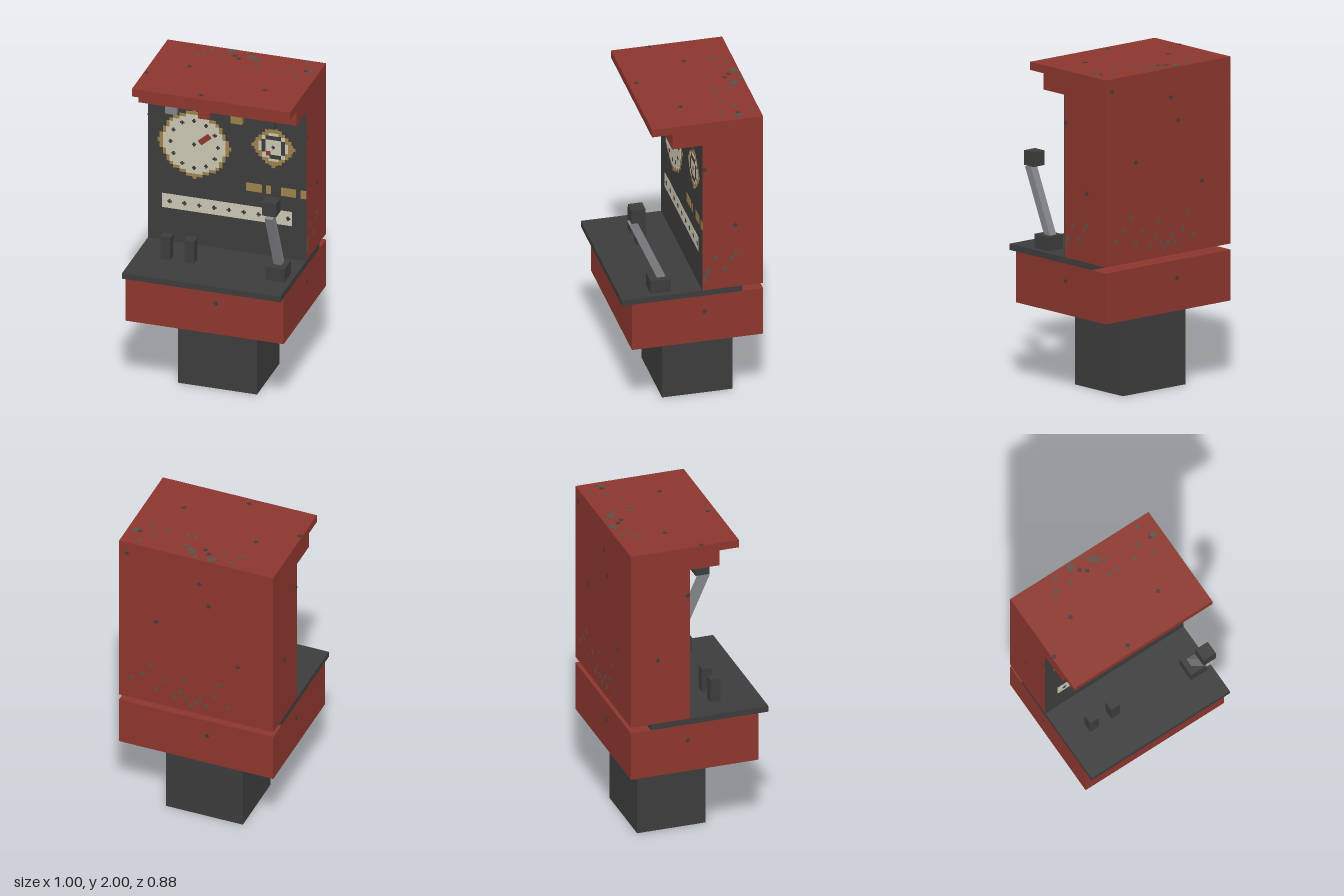
import * as THREE from 'three';
import { mergeGeometries } from 'three/addons/utils/BufferGeometryUtils.js';

const mat = (name, color) => Object.assign(new THREE.MeshStandardMaterial({ color }), { name });
const red = mat('red paint', 0x8b362d);
const dark = mat('dark iron', 0x3c3c3c);
const cream = mat('cream enamel', 0xcac6b3);
const gold = mat('brass', 0x9c8149);
const steel = mat('steel', 0x838488);
const worn = mat('worn metal', 0x5f4f45);

const FACE = -0.0625; // z of the instrument panel

// Box geometry from its lower and upper limits
function boxGeo(x0, x1, y0, y1, z0, z1) {
  return new THREE.BoxGeometry(x1 - x0, y1 - y0, z1 - z0)
    .translate((x0 + x1) / 2, (y0 + y1) / 2, (z0 + z1) / 2);
}

// Thin plate lying on the panel, layer sets how far it stands out
const plateGeo = (x0, x1, y0, y1, layer) =>
  boxGeo(x0, x1, y0, y1, FACE, FACE + 0.002 * (layer + 1));

// Small plus mark centred on the origin, facing +z
function plusGeo(size, depth = 0.003) {
  const a = size / 2, b = size / 5;
  return mergeGeometries([boxGeo(-a, a, -b, b, 0, depth), boxGeo(-b, b, -a, a, 0, depth)]);
}

const panelPlus = (x, y, size, layer) =>
  plusGeo(size, 0.002 * (layer + 1)).translate(x, y, FACE);

// Stepped round plate made of rows of square cells
function steppedDisc(cx, cy, r, layer, cell = 0.0208) {
  const rows = [];
  const n = Math.floor(r / cell);
  for (let i = -n; i <= n; i++) {
    const half = (Math.floor(Math.sqrt(r * r - (i * cell) ** 2) / cell) + 0.5) * cell;
    rows.push(plateGeo(cx - half, cx + half, cy + (i - 0.5) * cell, cy + (i + 0.5) * cell, layer));
  }
  return mergeGeometries(rows);
}

export function createModel() {
  const model = new THREE.Group();
  model.name = 'controlCabinet';
  const add = (name, material, geo, parent = model) => {
    const mesh = new THREE.Mesh(geo, material);
    mesh.name = name;
    parent.add(mesh);
    return mesh;
  };
  const group = (name) => {
    const g = new THREE.Group();
    g.name = name;
    model.add(g);
    return g;
  };

  // Pedestal, lower body and counter
  add('pedestal', dark, boxGeo(-0.25, 0.25, 0, 0.5, -0.31, 0.125));
  add('lowerBody', red, boxGeo(-0.5, 0.5, 0.5, 0.8125, -0.4375, 0.375));
  add('counter', dark, boxGeo(-0.5, 0.5, 0.8125, 0.85, -0.31, 0.4375));

  // Upper cabinet with its stepped cornice: side profile (z, y) extruded across x
  const profile = new THREE.Shape([
    [-0.4375, 0.85], [FACE, 0.85], [FACE, 1.85], [0.125, 1.85],
    [0.125, 1.95], [0.25, 1.95], [0.25, 2], [-0.4375, 2],
  ].map(([z, y]) => new THREE.Vector2(-z, y)));
  const cabinet = new THREE.ExtrudeGeometry(profile, { depth: 1, bevelEnabled: false });
  cabinet.rotateY(Math.PI / 2).translate(-0.5, 0, 0);
  add('upperCabinet', red, cabinet);
  add('instrumentPanel', dark, plateGeo(-0.5, 0.5, 0.85, 1.85, 0));

  // Large dial
  const big = group('largeDial');
  const bx = -0.207, by = 1.525;
  const quarter = [0, 1, 2, 3].map((i) => i * Math.PI / 2);
  const nubs = (cx, cy, r, size) => quarter.map((a) =>
    panelPlus(cx + r * Math.cos(a), cy + r * Math.sin(a), size, 1));
  add('largeDialRim', gold, mergeGeometries([steppedDisc(bx, by, 0.214, 1), ...nubs(bx, by, 0.202, 0.062)]), big);
  add('largeDialFace', cream, steppedDisc(bx, by, 0.192, 2), big);
  const marks = [panelPlus(bx, by, 0.026, 3)];
  for (let i = 0; i < 12; i++) {
    const a = i * Math.PI / 6;
    marks.push(panelPlus(bx + 0.15 * Math.sin(a), by + 0.158 * Math.cos(a), 0.026, 3));
  }
  add('largeDialMarks', dark, mergeGeometries(marks), big);
  const needle = new THREE.BoxGeometry(0.085, 0.036, 0.008).rotateZ(0.72);
  add('largeDialNeedle', red, needle.translate(-0.14, 1.568, FACE + 0.005), big);

  // Small dial
  const small = group('smallDial');
  const sx = 0.293, sy = 1.583;
  add('smallDialRim', gold, mergeGeometries([steppedDisc(sx, sy, 0.114, 1), ...nubs(sx, sy, 0.112, 0.055)]), small);
  add('smallDialFace', cream, steppedDisc(sx, sy, 0.093, 2), small);
  add('smallDialScale', dark, mergeGeometries([
    plateGeo(sx - 0.048, sx + 0.048, sy + 0.05, sy + 0.076, 3),
    plateGeo(sx - 0.024, sx + 0.048, sy - 0.076, sy - 0.05, 3),
    plateGeo(sx - 0.074, sx - 0.048, sy - 0.035, sy + 0.048, 3),
    plateGeo(sx + 0.048, sx + 0.074, sy - 0.045, sy + 0.048, 3),
    panelPlus(sx, sy, 0.024, 3),
  ]), small);
  add('smallDialNeedle', red, plateGeo(sx - 0.045, sx - 0.018, sy - 0.058, sy - 0.028, 3), small);

  // Brass tags and graduated strip
  const tags = [[0.12, 0.22], [0.247, 0.277], [0.34, 0.435], [0.463, 0.5]];
  add('brassTags', gold, mergeGeometries(tags.map(([a, b]) => plateGeo(a, b, 1.265, 1.32, 1))));
  add('gaugeStrip', cream, plateGeo(-0.41, 0.41, 1.07, 1.165, 1));
  const ticks = [];
  for (let i = 0; i < 9; i++) ticks.push(panelPlus(-0.363 + i * 0.0937, 1.117, 0.028, 2));
  add('gaugeTicks', dark, mergeGeometries(ticks));

  // Row of square indicators
  [steel, red, gold, dark].forEach((m, i) => {
    const x = -0.347 + i * 0.2065;
    add('indicator', m, boxGeo(x - 0.036, x + 0.036, 1.715, 1.788, FACE, -0.035));
  });

  // Switches standing on the counter
  for (const x of [-0.31, -0.158]) {
    add('switch', dark, boxGeo(x - 0.031, x + 0.031, 0.85, 1, 0.125, 0.1875));
  }

  // Lever leaning forward from its block
  const lever = group('lever');
  add('leverBase', dark, boxGeo(0.345, 0.465, 0.85, 0.9375, 0.125, 0.25), lever);
  const arm = add('leverArm', steel, new THREE.BoxGeometry(0.05, 0.47, 0.05), lever);
  arm.position.set(0.405, 1.12, 0.256);
  arm.rotation.x = Math.atan2(0.177, 0.4);
  add('leverKnob', dark, boxGeo(0.36, 0.448, 1.34, 1.43, 0.277, 0.364), lever);

  // Paint chips: flat plus marks on the outer faces
  const onTop = (x, z, s) => plusGeo(s).rotateX(-Math.PI / 2).translate(x, 2 - 0.001, z);
  const onBack = (x, y, s) => plusGeo(s).rotateY(Math.PI).translate(x, y, -0.4365);
  const onSide = (side, z, y, s) => plusGeo(s).rotateY(side * Math.PI / 2).translate(side * 0.499, y, z);
  const onFront = (x, y, z, s) => plusGeo(s).translate(x, y, z - 0.001);

  add('wornTop', worn, mergeGeometries([
    ...[[-0.205, -0.395], [-0.235, -0.33], [-0.265, -0.3], [-0.14, -0.33], [0.11, -0.33], [0.08, -0.235],
      [0.14, -0.235], [0.265, -0.235], [0.39, -0.205], [0.33, -0.3], [0.39, -0.395], [0.015, -0.415]]
      .map(([x, z]) => onTop(x, z, 0.03)),
    ...[[-0.095, -0.4], [-0.08, -0.41], [0.05, -0.375], [0.07, -0.36], [0.445, -0.3]].map(([x, z]) => onTop(x, z, 0.05)),
  ]));
  add('chipsTop', dark, mergeGeometries(
    [[-0.05, -0.36], [-0.015, -0.33], [-0.265, -0.14], [-0.485, 0.015], [0.265, 0.015], [-0.08, 0.2], [0.42, -0.3]]
      .map(([x, z]) => onTop(x, z, 0.028))));
  add('wornBack', worn, mergeGeometries(
    [[0.03, 0.9], [0.06, 0.94], [0, 0.93], [-0.03, 0.97], [-0.06, 0.92], [0.1, 0.98], [0.14, 0.93], [-0.12, 1],
      [0.2, 1.03], [0.26, 0.96], [0.35, 1.05], [0.42, 1], [-0.2, 0.95], [0.08, 1.07], [-0.15, 1.1], [0.3, 1.12]]
      .map(([x, y]) => onBack(x, y, 0.032))));
  add('chipsBack', dark, mergeGeometries(
    [[0.45, 1.92], [-0.02, 1.82], [-0.08, 1.67], [0.26, 1.46], [-0.27, 1.27], [-0.07, 0.7]]
      .map(([x, y]) => onBack(x, y, 0.028))));
  add('wornSide', worn, mergeGeometries([
    ...[[-0.265, 1.08], [-0.24, 1.05], [-0.14, 1.06], [-0.2, 0.98], [-0.1, 0.98], [-0.085, 0.96], [-0.08, 0.92]]
      .map(([z, y]) => onSide(1, z, y, 0.032)),
  ]));
  add('chipsSide', dark, mergeGeometries([
    ...[1, -1].flatMap((s) => [[-0.265, 1.275], [-0.075, 1.68], [-0.075, 0.705]].map(([z, y]) => onSide(s, z, y, 0.028))),
  ]));
  add('chipsFront', dark, mergeGeometries([
    onFront(0.072, 0.705, 0.375, 0.03), onFront(-0.455, 1.925, 0.125, 0.03),
  ]));
  return model;
}
